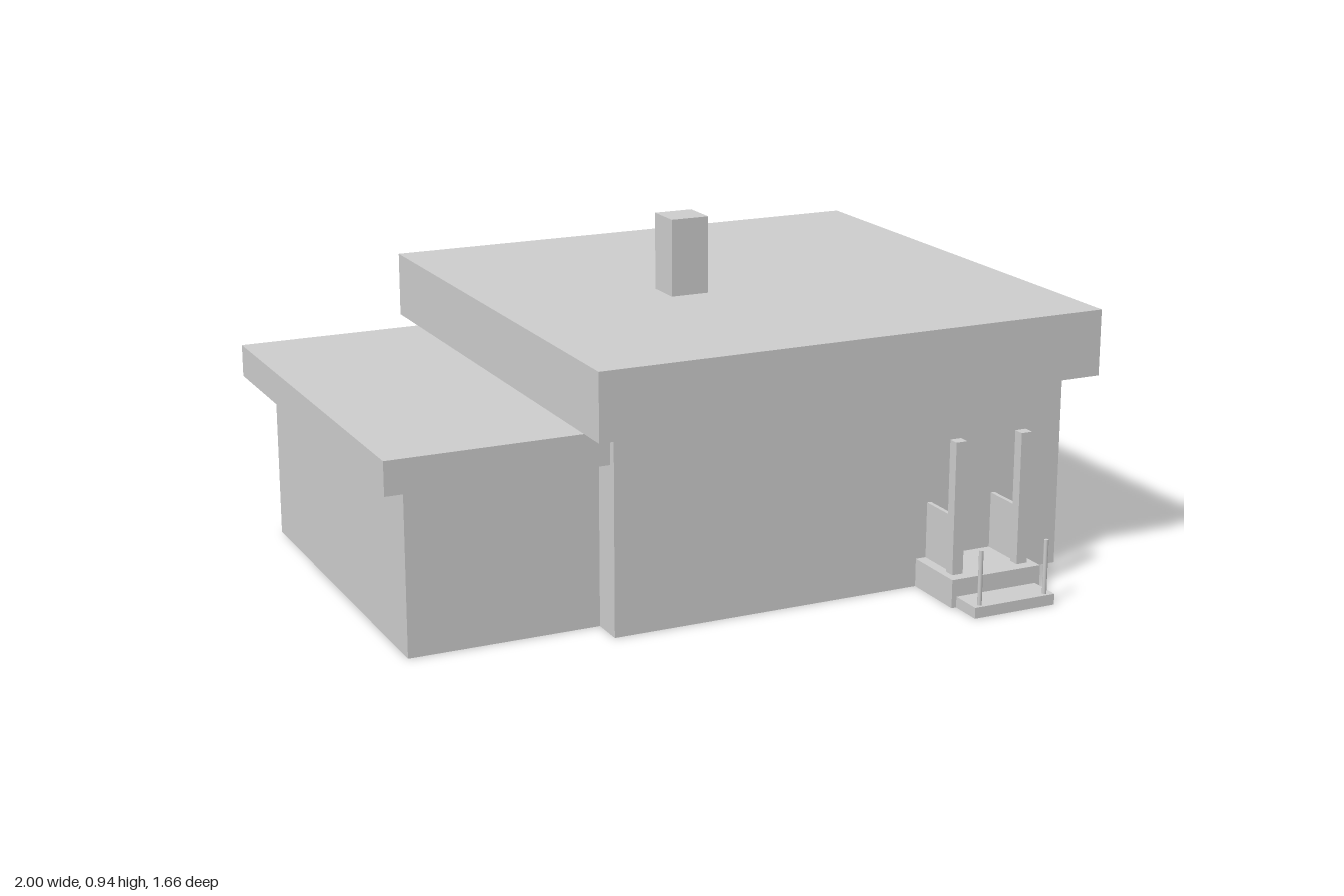
import * as THREE from 'three';

export function createModel() {
  const house = new THREE.Group();
  house.name = 'house';
  const plaster = new THREE.MeshStandardMaterial({ color: 0xcccccc });
  plaster.name = 'light grey';

  // Box given by its extents along each axis
  function block(name, [x0, x1], [y0, y1], [z0, z1], parent = house) {
    const mesh = new THREE.Mesh(new THREE.BoxGeometry(x1 - x0, y1 - y0, z1 - z0), plaster);
    mesh.position.set((x0 + x1) / 2, (y0 + y1) / 2, (z0 + z1) / 2);
    mesh.name = name;
    parent.add(mesh);
    return mesh;
  }

  // Main building with thick flat roof and chimney
  block('mainWalls', [-0.405, 0.926], [0, 0.545], [-0.76, 0.553]);
  block('mainRoof', [-0.475, 0.998], [0.545, 0.728], [-0.83, 0.622]);
  block('chimney', [0.02, 0.13], [0.728, 0.942], [-0.108, -0.002]);

  // Lower side wing
  block('wingWalls', [-0.928, -0.405], [0, 0.455], [-0.61, 0.46]);
  block('wingRoof', [-1, -0.405], [0.455, 0.545], [-0.68, 0.53]);

  // Entrance steps
  const porch = new THREE.Group();
  porch.name = 'porch';
  porch.position.x = 0.618;
  house.add(porch);
  block('upperStep', [-0.136, 0.136], [0, 0.078], [0.553, 0.738], porch);
  block('lowerStep', [-0.122, 0.122], [0, 0.03], [0.738, 0.83], porch);

  // Side panels, posts and handrail poles, mirrored about the porch centre
  for (const side of [-1, 1]) {
    const x = side * 0.1;
    block('sidePanel', [x - 0.006, x + 0.006], [0.078, 0.233], [0.553, 0.674], porch);
    block('post', [x - 0.016, x + 0.016], [0.078, 0.443], [0.674, 0.705], porch);
    const pole = new THREE.Mesh(new THREE.CylinderGeometry(0.006, 0.006, 0.15, 12), plaster);
    pole.position.set(x, 0.105, 0.815);
    pole.name = 'handrailPole';
    porch.add(pole);
  }
  return house;
}
